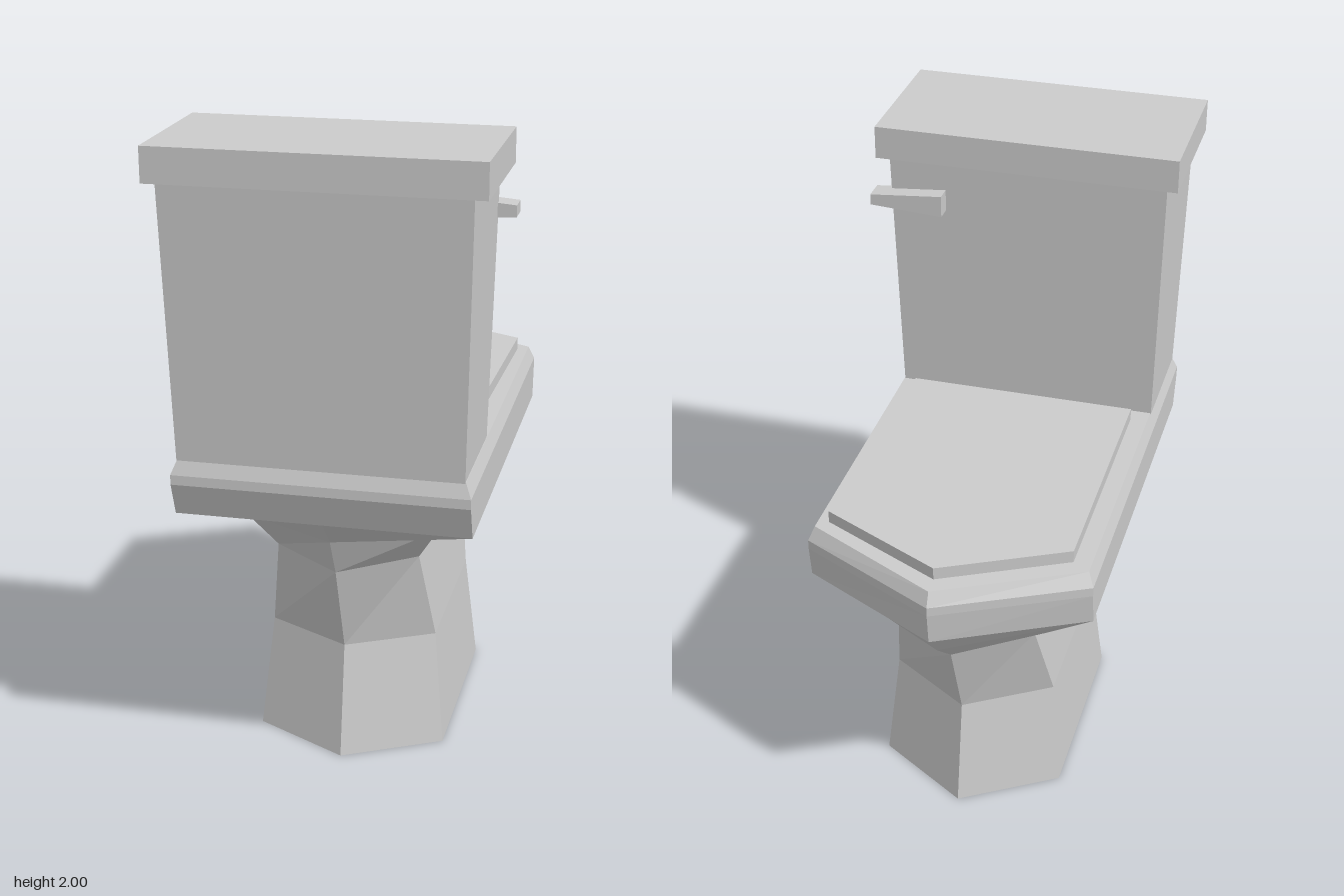
import * as THREE from 'three';

const CX = -0.008; // the body sits slightly off the centre line
const material = new THREE.MeshStandardMaterial({ color: 0xcccccc, flatShading: true });

// Joins stacked rings of [x, y, z] points (running +z, +x, -z, -x) and caps both ends.
function loft(name, rings) {
  const n = rings[0].length;
  const last = (rings.length - 1) * n;
  const index = [];
  for (let r = 0; r < rings.length - 1; r++) {
    for (let i = 0; i < n; i++) {
      const a = r * n + i;
      const b = r * n + ((i + 1) % n);
      index.push(a, b, b + n, a, b + n, a + n);
    }
  }
  for (let i = 1; i < n - 1; i++) {
    index.push(0, i + 1, i);
    index.push(last, last + i, last + i + 1);
  }
  const geometry = new THREE.BufferGeometry();
  geometry.setAttribute('position', new THREE.Float32BufferAttribute(rings.flat(2), 3));
  geometry.setIndex(index);
  const flat = geometry.toNonIndexed();
  flat.computeVertexNormals();
  const mesh = new THREE.Mesh(flat, material);
  mesh.name = name;
  return mesh;
}

// Six-sided ring: half width, front tip, front shoulder, back shoulder, back tip.
const hexRing = ([y, w, tip, front, back, backTip]) => [
  [CX, y, backTip], [CX + w, y, back], [CX + w, y, front],
  [CX, y, tip], [CX - w, y, front], [CX - w, y, back],
];

// Rectangular ring at height y.
const rectRing = (y, x0, x1, z0, z1) => [[x0, y, z1], [x1, y, z1], [x1, y, z0], [x0, y, z0]];

export function createModel() {
  const model = new THREE.Group();
  model.name = 'toilet';

  // Pedestal, pointed at both ends, flaring up to the bowl
  const waist = [0.885, 0.445, -0.775, -0.55, 0.705, 0.705];
  model.add(loft('pedestal', [
    [0, 0.3, -0.505, -0.32, 0.335, 0.495],
    [0.36, 0.265, -0.445, -0.28, 0.29, 0.43],
    [0.66, 0.225, -0.555, -0.385, 0.37, 0.54],
    [0.79, 0.3, -0.695, -0.525, 0.455, 0.61],
    waist,
  ].map(hexRing)));

  // Bowl rim with a square back
  model.add(loft('bowlRim', [
    waist,
    [0.99, 0.445, -0.787, -0.565, 0.743, 0.743],
    [1.02, 0.445, -0.787, -0.565, 0.743, 0.743],
    [1.065, 0.427, -0.765, -0.548, 0.727, 0.727],
  ].map(hexRing)));

  // Seat cover
  const seatOutline = [[0.362, 0.295], [0.385, -0.515], [-0.005, -0.705], [-0.38, -0.515], [-0.38, 0.295]];
  model.add(loft('seatCover', [1.06, 1.105].map((y) => seatOutline.map(([x, z]) => [x, y, z]))));

  // Tank, widening upwards, and its lid
  model.add(loft('tank', [
    rectRing(1.06, -0.437, 0.417, 0.35, 0.728),
    rectRing(1.9, -0.455, 0.437, 0.323, 0.77),
  ]));
  model.add(loft('tankLid', [
    rectRing(1.895, -0.491, 0.477, 0.303, 0.788),
    rectRing(2, -0.491, 0.477, 0.303, 0.788),
  ]));

  // Flush lever, tapering towards its outer end
  const lever = new THREE.BoxGeometry(0.235, 0.07, 0.07);
  lever.translate(0.3725, 1.765, 0.31);
  const p = lever.attributes.position;
  for (let i = 0; i < p.count; i++) {
    if (p.getX(i) > 0.4) p.setY(i, 1.762 + (p.getY(i) - 1.765) * 0.5);
  }
  lever.computeVertexNormals();
  const leverMesh = new THREE.Mesh(lever, material);
  leverMesh.name = 'flushLever';
  model.add(leverMesh);

  return model;
}
